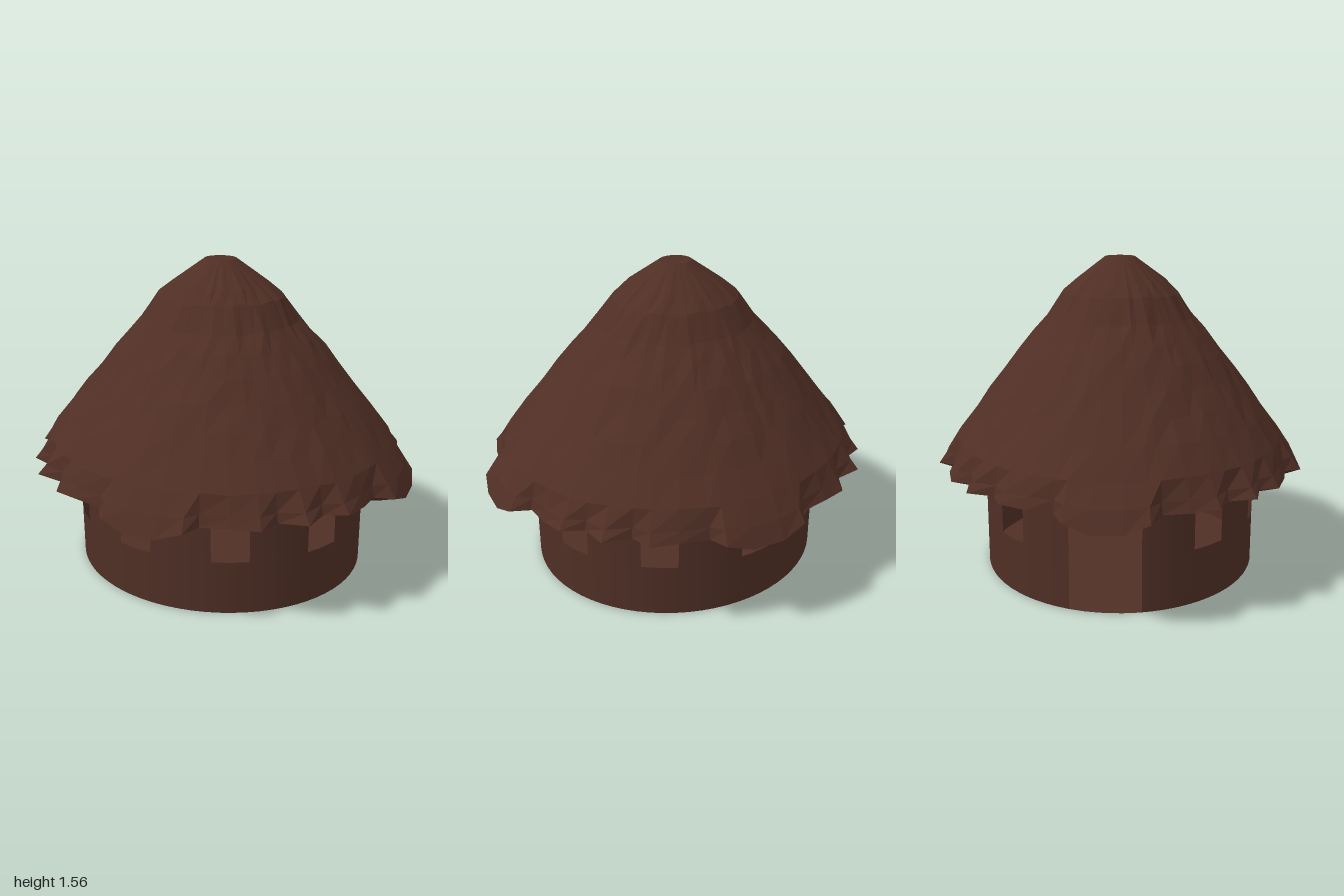
import * as THREE from 'three';

const thatch = new THREE.MeshStandardMaterial({ color: 0x502f25, side: THREE.DoubleSide, flatShading: true });
thatch.name = 'thatch brown';
const clay = new THREE.MeshStandardMaterial({ color: 0x4f2f25, side: THREE.DoubleSide });
clay.name = 'clay brown';

const RX = 0.75, RZ = 0.695; // oval wall radii
const RATIO = 0.932; // depth to width of the roof
const rad = THREE.MathUtils.degToRad;

let seed = 11;
function jitter(amount) {
  seed = (seed * 16807) % 2147483647;
  return (seed / 2147483647 - 0.5) * 2 * amount;
}

// Curved strip of the oval wall; angles run from +x towards +z
function wallPanel(name, a0, a1, y0, y1) {
  const steps = Math.max(2, Math.ceil((a1 - a0) / 5));
  const g = new THREE.CylinderGeometry(1, 1, y1 - y0, steps, 1, true, rad(90 - a1), rad(a1 - a0));
  g.scale(RX, 1, RZ);
  g.translate(0, (y0 + y1) / 2, 0);
  const mesh = new THREE.Mesh(g, clay);
  mesh.name = name;
  return mesh;
}

function createWall() {
  const wall = new THREE.Group();
  wall.name = 'wall';
  const sill = 0.27, head = 0.47, top = 0.58;
  // Centre angle and half width of each opening, the doorway being the wide one
  const openings = [
    [27.5, 7], [65, 7], [102, 7], [139.5, 7], [182, 14],
    [224, 7], [262.5, 7], [301, 7], [337, 7],
  ];
  const door = openings[4];
  wall.add(wallPanel('lowerWall', door[0] + door[1], door[0] - door[1] + 360, 0, sill));
  wall.add(wallPanel('upperWall', 0, 360, head, top));
  openings.forEach(([a, w], i) => {
    const [b, v] = openings[(i + 1) % openings.length];
    const next = b < a ? b + 360 : b;
    wall.add(wallPanel('pier', a + w, next - v, sill, head));
  });
  const floor = new THREE.Mesh(new THREE.CircleGeometry(1, 72), clay);
  floor.name = 'floor';
  floor.rotation.x = Math.PI / 2;
  floor.scale.set(RX, RZ, 1);
  wall.add(floor);
  return wall;
}

// Ragged eave outline: one quarter as [x, z, y], mirrored to all four
function eaveOutline() {
  const quarter = [
    [1, 0.075, 0.485], [0.975, 0.19, 0.525], [0.88, 0.235, 0.535], [0.865, 0.36, 0.54],
    [0.83, 0.485, 0.55], [0.72, 0.525, 0.545], [0.7, 0.655, 0.55], [0.56, 0.675, 0.545],
    [0.52, 0.77, 0.54], [0.39, 0.81, 0.545], [0.25, 0.83, 0.535], [0.205, 0.91, 0.53],
    [0.08, 0.932, 0.49],
  ];
  const flipX = quarter.map(([x, z, y]) => [-x, z, y]).reverse();
  const half = [...quarter, ...flipX];
  return [...half, ...half.map(([x, z, y]) => [-x, -z, y])];
}

function createRoof() {
  const eave = eaveOutline();
  const n = eave.length;
  const rows = [];
  // Oval ring whose corners line up with the eave corners
  const ring = (r, y, wobble) => eave.map(([x, z]) => {
    const a = Math.atan2(z / RATIO, x);
    const rr = r + jitter(wobble);
    return [Math.cos(a) * rr, y + jitter(wobble), Math.sin(a) * rr * RATIO];
  });

  // Underside, lip and eave edge
  rows.push(ring(0.02, 1.46, 0), ring(0.3, 1.2, 0), ring(0.68, 0.66, 0));
  rows.push(eave.map(([x, z, y]) => [x * 0.88, y - 0.04, z * 0.88]));
  rows.push(eave.map(([x, z, y]) => [x, y, z]));

  // Overhanging tufts blend into the cone
  const shoulder = ring(0.885, 0.68, 0.004);
  rows.push(eave.map(([x, z, y], i) => {
    const [sx, , sz] = shoulder[i];
    return [sx + (x - sx) * 0.6, 0.59 + (y - 0.53) * 0.2, sz + (z - sz) * 0.6];
  }));
  rows.push(shoulder);

  // Thatched cone up to the small flat cap
  [[0.79, 0.8], [0.71, 0.9], [0.63, 1.0], [0.55, 1.1], [0.47, 1.19], [0.395, 1.27], [0.315, 1.385], [0.24, 1.445]]
    .forEach(([r, y]) => rows.push(ring(r, y, 0.006)));
  rows.push(ring(0.08, 1.56, 0), ring(0.001, 1.56, 0));

  const index = [];
  for (let j = 0; j < rows.length - 1; j++) {
    for (let i = 0; i < n; i++) {
      const k = (i + 1) % n;
      const a = j * n + i, b = j * n + k, c = a + n, d = b + n;
      index.push(a, c, b, b, c, d);
    }
  }
  const g = new THREE.BufferGeometry();
  g.setAttribute('position', new THREE.Float32BufferAttribute(rows.flat(2), 3));
  g.setIndex(index);
  g.computeVertexNormals();
  const roof = new THREE.Mesh(g, thatch);
  roof.name = 'thatchedRoof';
  return roof;
}

export function createModel() {
  seed = 11;
  const hut = new THREE.Group();
  hut.name = 'roundHut';
  hut.add(createWall(), createRoof());
  return hut;
}
